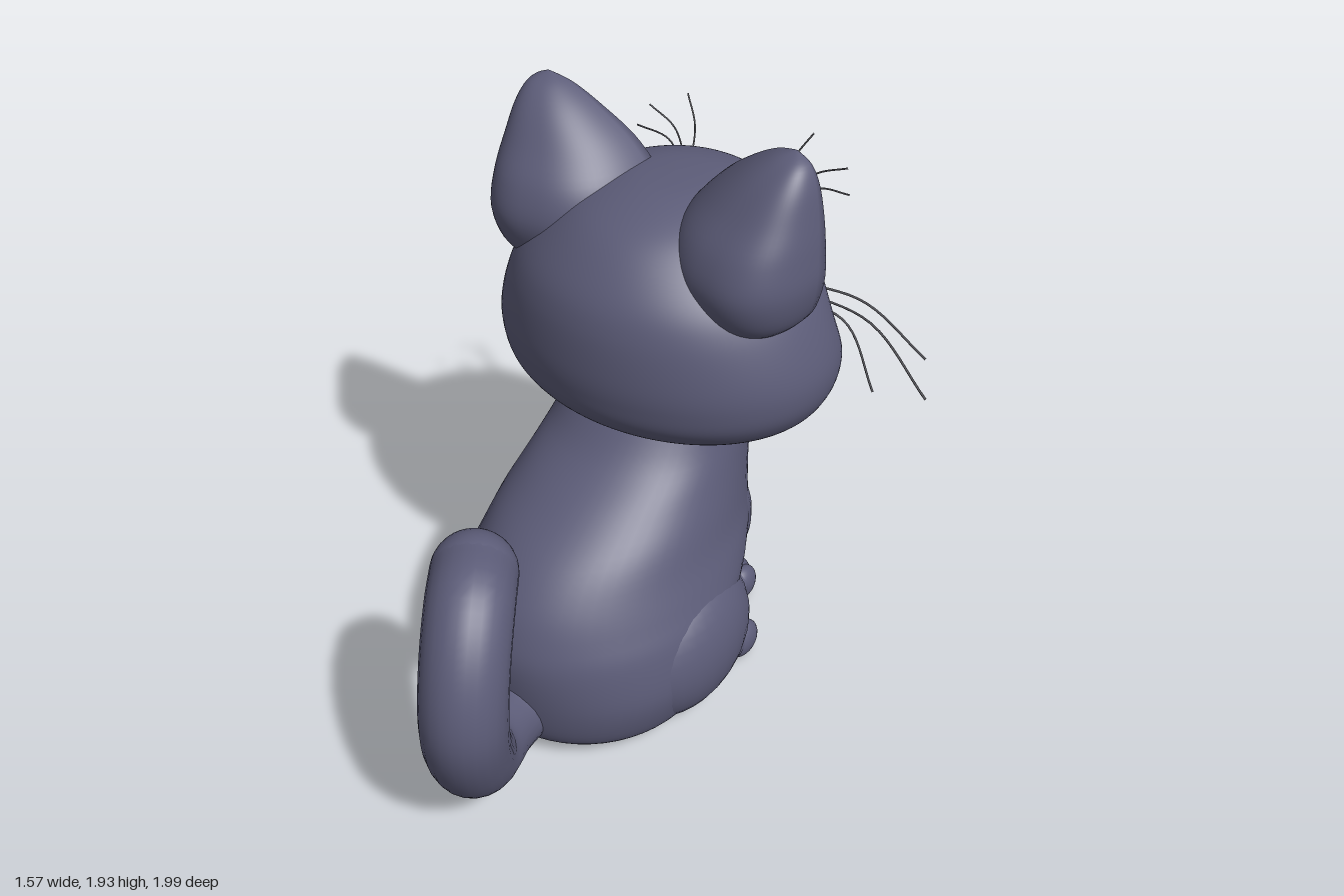
import * as THREE from 'three';
import { mergeVertices } from 'three/addons/utils/BufferGeometryUtils.js';

const mat = (name, color) => Object.assign(new THREE.MeshStandardMaterial({ color }), { name });

// Surface from fn(u, v) -> [x, y, z]; u runs right and v runs up as seen from outside
function grid(nu, nv, fn, flip = false) {
  const pos = [], idx = [];
  for (let i = 0; i <= nv; i++)
    for (let j = 0; j <= nu; j++) pos.push(...fn(flip ? 1 - j / nu : j / nu, i / nv));
  for (let i = 0; i < nv; i++)
    for (let j = 0; j < nu; j++) {
      const a = i * (nu + 1) + j, b = a + nu + 1;
      idx.push(a, a + 1, b, a + 1, b + 1, b);
    }
  let g = new THREE.BufferGeometry();
  g.setAttribute('position', new THREE.Float32BufferAttribute(pos, 3));
  g.setIndex(idx);
  g = mergeVertices(g, 1e-5);
  g.computeVertexNormals();
  return g;
}

// Smoothly interpolate table rows at t in 0..1
function sample(rows, t) {
  const f = t * (rows.length - 1), i = Math.min(Math.floor(f), rows.length - 2), w = f - i;
  const at = k => rows[Math.max(0, Math.min(rows.length - 1, k))];
  return rows[0].map((_, c) => {
    const [p, q, r, s] = [at(i - 1)[c], at(i)[c], at(i + 1)[c], at(i + 2)[c]];
    return q + 0.5 * w * (r - p + w * (2 * p - 5 * q + 4 * r - s + w * (3 * (q - r) + s - p)));
  });
}

const noDent = () => 0;
// Shallow flattened eye sockets
const eyeDent = (x, y) => .085 * Math.exp(-((((Math.abs(x) - .3) / .26) ** 2 + ((y - 1.31) / .18) ** 2) ** 2));

// Stack of elliptical sections; row = [y, rx, rz, centreZ, centreX]
const loft = (rows, nu, nv, s = 1, dent = noDent) => grid(nu, nv, (u, v) => {
  const [y, rx, rz, cz, cx = 0] = sample(rows, v), a = u * Math.PI * 2, c = Math.cos(a);
  const x = s * cx + Math.max(rx, 0) * Math.sin(a);
  return [x, Math.max(y, 0), cz + (Math.max(rz, 0) - (c > 0 ? dent(x, y) : 0)) * c];
});

// Front depth of a loft at (x, y)
function frontOf(rows, dent = noDent) {
  const dense = Array.from({ length: 201 }, (_, i) => sample(rows, i / 200));
  return (x, y) => {
    let i = 0;
    while (i < 199 && dense[i + 1][0] < y) i++;
    const [a, b] = [dense[i], dense[i + 1]];
    const w = THREE.MathUtils.clamp((y - a[0]) / (b[0] - a[0] || 1), 0, 1);
    const [, rx, rz, cz] = a.map((p, k) => p + (b[k] - p) * w);
    return cz + (rz - dent(x, y)) * Math.sqrt(Math.max(0, 1 - (x / rx) ** 2));
  };
}

// Thin patch hugging a surface; outline(u) runs counter-clockwise
function patch(front, core, centre, outline, lift, bulge = 0) {
  return grid(64, 14, (u, v) => {
    const [ox, oy] = outline(u);
    const x = ox + (centre[0] - ox) * v, y = oy + (centre[1] - oy) * v;
    const p = new THREE.Vector3(x, y, front(x, y)), d = p.clone().sub(core).normalize();
    return p.addScaledVector(d, lift + bulge * Math.sin(v * Math.PI / 2)).toArray();
  });
}
const oval = (cx, cy, rx, ry) => u => [cx + rx * Math.cos(u * 2 * Math.PI), cy + ry * Math.sin(u * 2 * Math.PI)];
// Symmetric outline from right-hand points listed bottom to top
function mirrored(half, smooth) {
  const pts = [...half, ...half.slice(1, -1).reverse().map(([x, y]) => [-x, y]), half[0]];
  return u => {
    if (smooth) return sample(pts, u);
    const f = u * (pts.length - 1), i = Math.min(Math.floor(f), pts.length - 2), w = f - i;
    return pts[i].map((p, k) => p + (pts[i + 1][k] - p) * w);
  };
}

const HEAD = [[.88, 0, 0, .32], [.893, .2, .17, .31], [.94, .38, .3, .26], [1, .5, .395, .215], [1.08, .56, .45, .195],
  [1.17, .58, .47, .19], [1.27, .565, .47, .185], [1.4, .515, .455, .185], [1.5, .45, .42, .19], [1.6, .35, .35, .205],
  [1.66, .265, .265, .215], [1.7, .14, .14, .22], [1.71, 0, 0, .22]];
const BODY = [[0, 0, 0, -.28], [.003, .2, .2, -.28], [.018, .33, .33, -.28], [.05, .39, .39, -.285], [.12, .43, .43, -.29],
  [.25, .46, .46, -.28], [.4, .45, .53, -.215], [.5, .42, .555, -.165], [.6, .385, .54, -.125], [.7, .36, .495, -.07],
  [.8, .335, .42, .01], [.9, .315, .335, .085], [1, .3, .28, .13]];
const LEG = [[.03, .09, .09, .24, .14], [.1, .11, .11, .23, .14], [.3, .125, .13, .2, .15], [.45, .148, .158, .175, .165],
  [.6, .148, .155, .14, .17], [.75, .11, .1, .11, .15], [.83, 0, 0, .11, .15]];
// Ear rows: [y, outer x, inner x, depth, front z outer, front z inner]
const EAR = [[1.36, .42, .2, 0, .14, .18], [1.38, .48, .12, .18, .15, .24], [1.44, .54, .07, .28, .16, .27],
  [1.55, .57, .06, .32, .165, .27], [1.66, .565, .09, .29, .17, .26], [1.76, .55, .17, .22, .175, .25],
  [1.85, .53, .28, .14, .175, .22], [1.905, .5, .37, .07, .175, .2], [1.93, .45, .44, 0, .18, .18]];
const NOSE = [[1.125, 0, 0, .68], [1.14, .03, .03, .68], [1.17, .065, .045, .675], [1.195, .088, .048, .665],
  [1.212, .065, .035, .655], [1.218, 0, 0, .65]];

export function createModel() {
  const fur = mat('slate fur', 0x5c5c78), white = mat('pale fur', 0xaaa6a6), pink = mat('pink skin', 0xb0746c),
    green = mat('dark green iris', 0x1c7428), lime = mat('light green eye', 0x98c47c),
    hair = mat('whisker grey', 0x5a5a60), shine = mat('eye shine', 0xa0a0b0);
  const model = new THREE.Group(), cat = new THREE.Group();
  cat.name = 'cat';
  cat.rotation.y = THREE.MathUtils.degToRad(142);
  cat.position.set(-.142, 0, -.111);
  model.add(cat);
  const add = (name, geo, material, parent = cat) => {
    const m = new THREE.Mesh(geo, material);
    m.name = name;
    parent.add(m);
    return m;
  };
  const ball = (name, material, p, r, parent = cat) => {
    const m = add(name, new THREE.SphereGeometry(1, 28, 20), material, parent);
    m.position.set(...p);
    m.scale.set(...r);
  };
  const curve = pts => new THREE.CatmullRomCurve3(pts.map(p => new THREE.Vector3(...p)));

  add('body', loft(BODY, 56, 52), fur);
  add('head', loft(HEAD, 96, 96, 1, eyeDent), fur);
  const face = frontOf(HEAD, eyeDent), chest = frontOf(BODY);
  const headCore = new THREE.Vector3(0, 1.25, .18), bodyCore = new THREE.Vector3(0, .65, 0);

  // Muzzle and nose
  add('muzzle', patch(face, headCore, [0, 1.08], mirrored([[0, .905], [.14, .91], [.26, .935], [.34, 1],
    [.365, 1.09], [.42, 1.19], [.385, 1.222], [.2, 1.185], [.09, 1.2], [0, 1.215]], true), .006, .06), white);
  add('nose', loft(NOSE, 28, 20), pink);

  // Chest bib with a ragged edge and overlapping tufts
  add('bib', patch(chest, bodyCore, [0, .68], mirrored([[0, .43], [.05, .475], [.085, .48], [.13, .54], [.165, .555],
    [.2, .63], [.225, .65], [.25, .73], [.265, .78], [.245, .84], [0, .86]], false), .012, .025), white);
  for (let row = 0; row < 4; row++)
    for (let k = 0; k <= row + 1; k++) {
      const y = .51 + row * .07, x = (k - (row + 1) / 2) * .07;
      const tuft = add('bibTuft', new THREE.ConeGeometry(.032, .12, 8), white);
      tuft.position.set(x, y, chest(x, y) + .024);
      tuft.rotation.set(Math.PI - .38, 0, x);
      tuft.scale.z = .4;
    }

  for (const s of [1, -1]) {
    // Ears: rounded back, hollow front, pink lining
    const earPoint = ([y, xo, xi, d, zo, zi], k, lift) =>
      [s * (xi + (xo - xi) * k), y, zi + (zo - zi) * k - d * .35 * Math.sin(Math.PI * k) ** .8 + lift];
    add('ear', grid(60, 40, (u, v) => {
      const r = sample(EAR, v), [y, xo, xi, d, zo, zi] = r;
      if (u > .6) return earPoint(r, Math.min(1, (u - .6) / .4), 0);
      const a = u / .6 * Math.PI, c = Math.cos(a), k = (1 + Math.sign(c) * Math.abs(c) ** .85) / 2;
      return [s * (xi + (xo - xi) * k), y, zi + (zo - zi) * k - d * Math.sin(a) ** .85];
    }, s < 0), fur);
    add('earLining', grid(16, 24, (u, v) =>
      earPoint(sample(EAR, .34 + v * .47), .52 + (u - .5) * .72 * Math.sqrt(1 - .9 * v ** 4), .008), s < 0), pink);

    // Eyes, layered outwards
    [['eyeWhite', .252, 1.3, .14, .114, .006, lime], ['iris', .222, 1.31, .108, .112, .01, green],
      ['pupil', .208, 1.308, .074, .082, .014, fur], ['eyeShine', .245, 1.355, .018, .02, .018, shine],
      ['eyeShine', .18, 1.355, .013, .016, .018, shine]].forEach(([name, x, y, rx, ry, lift, m]) =>
      add(name, patch(face, headCore, [s * x, y], oval(s * x, y, rx, ry), lift), m));

    // Whiskers and brow hairs
    [[[.16, 1.15, .67], [.45, 1.19, .64], [.75, 1.15, .52]], [[.16, 1.12, .67], [.48, 1.12, .64], [.765, 1, .52]],
      [[.15, 1.09, .67], [.38, 1.07, .66], [.56, .925, .55]], [[.17, 1.53, .53], [.19, 1.65, .59], [.24, 1.74, .62]],
      [[.18, 1.53, .53], [.27, 1.62, .59], [.38, 1.67, .6]], [[.19, 1.52, .53], [.29, 1.58, .58], [.41, 1.6, .57]]]
      .forEach((pts, i) => add(i < 3 ? 'whisker' : 'browHair',
        new THREE.TubeGeometry(curve(pts.map(([x, y, z]) => [s * x, y, z])), 16, i < 3 ? .0042 : .003, 5), hair));

    // Legs, haunches and paws with soft toes
    add('frontLeg', loft(LEG, 28, 28, s), fur);
    ball('frontPaw', fur, [s * .14, .08, .28], [.125, .08, .13]);
    ball('haunch', fur, [s * .32, .265, -.19], [.18, .265, .3]);
    ball('hindPaw', fur, [s * .3, .085, -.02], [.125, .085, .2]);
    for (let i = 0; i < 4; i++) {
      const o = (i - 1.5) * .054, back = Math.abs(i - 1.5) * .02;
      ball('frontToe', fur, [s * .14 + o, .071, .345 - back], [.044, .067, .07]);
      ball('hindToe', fur, [s * .3 + o, .071, .11 - back], [.044, .069, .075]);
    }
  }

  // Tail curling up behind, with a rounded tip
  const path = [[-.45, .18, .3], [-.6, .19, .52], [-.65, .23, .68], [-.66, .38, .8], [-.655, .58, .865],
    [-.64, .76, .81], [-.625, .87, .7], [-.62, .88, .575]];
  add('tail', new THREE.TubeGeometry(curve(path), 56, .13, 24), fur, model);
  ball('tailTip', fur, path[7], [.13, .13, .13], model);
  return model;
}
